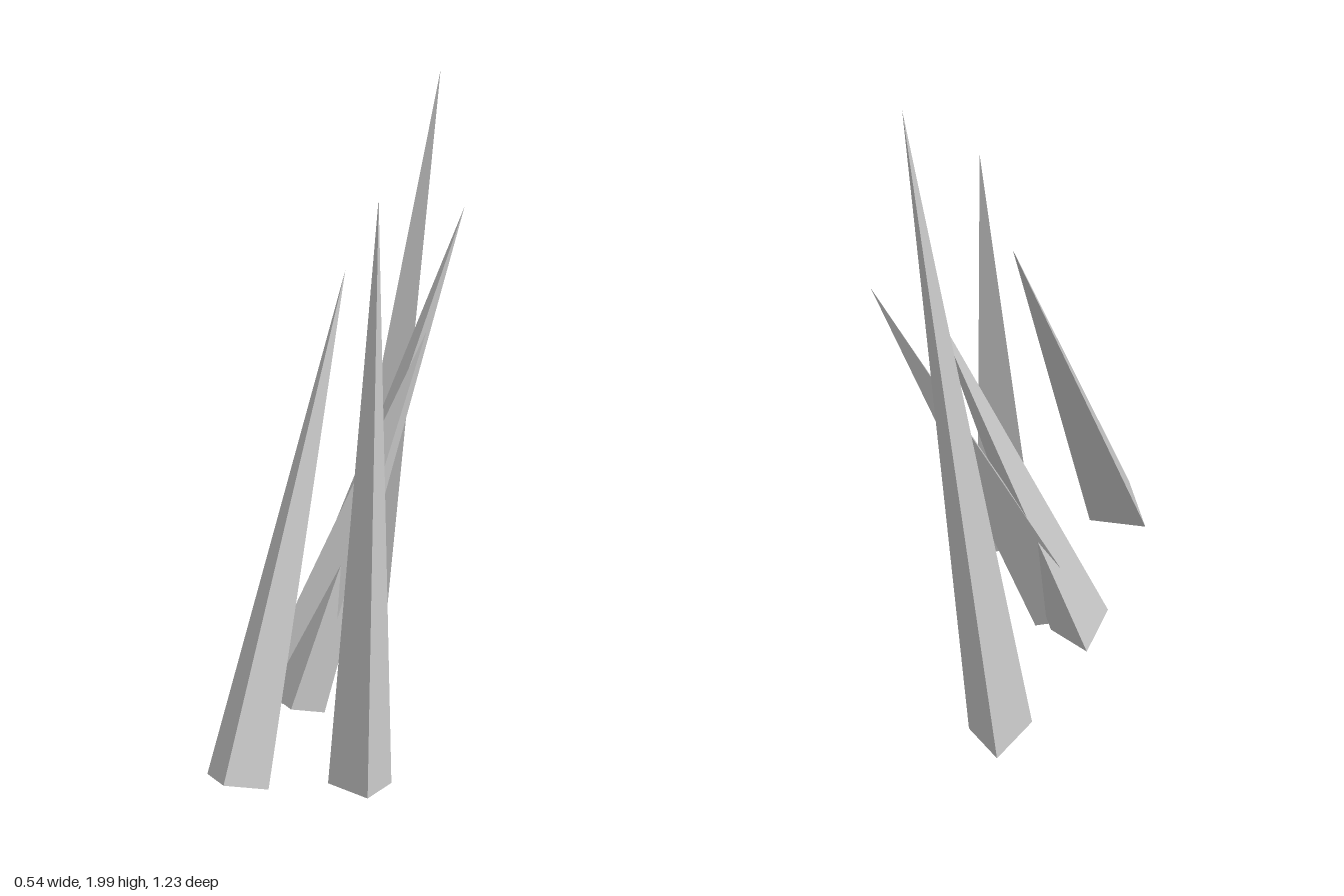
import * as THREE from 'three';

// Three-sided spike: base corners run counterclockwise seen from above
function spikeGeometry(tip, [a, b, c]) {
  const faces = [a, b, tip, b, c, tip, c, a, tip, c, b, a];
  const geometry = new THREE.BufferGeometry();
  geometry.setAttribute('position', new THREE.Float32BufferAttribute(faces.flat(), 3));
  geometry.computeVertexNormals();
  return geometry;
}

export function createModel() {
  const group = new THREE.Group();
  group.name = 'spikeCluster';

  const stone = new THREE.MeshStandardMaterial({ color: 0xc4c4c4 });
  stone.name = 'light grey';

  // Each spike: tip, then the three base corners
  const spikes = {
    tallBackSpike: [[0.13, 1.99, -0.46], [[-0.2, 0.03, -0.615], [-0.225, 0.03, -0.43], [-0.055, 0, -0.505]]],
    leftSpike: [[0.08, 1.7, -0.12], [[0.27, 0.035, 0.215], [0.107, 0.045, 0.305], [0.267, 0.08, 0.39]]],
    frontSpike: [[-0.04, 1.455, -0.165], [[-0.195, 0.105, 0.485], [-0.08, 0.165, 0.615], [-0.01, 0.085, 0.465]]],
    backLeaningSpike: [[0.155, 1.535, -0.615], [[-0.235, 0.115, -0.01], [-0.1, 0.14, 0.105], [-0.06, 0.055, -0.055]]],
    shortSpike: [[0.185, 1.275, -0.235], [[-0.27, 0.092, -0.14], [-0.26, 0.117, 0.04], [-0.11, 0.053, -0.05]]],
  };

  for (const [name, [tip, base]] of Object.entries(spikes)) {
    const mesh = new THREE.Mesh(spikeGeometry(tip, base), stone);
    mesh.name = name;
    group.add(mesh);
  }
  return group;
}
